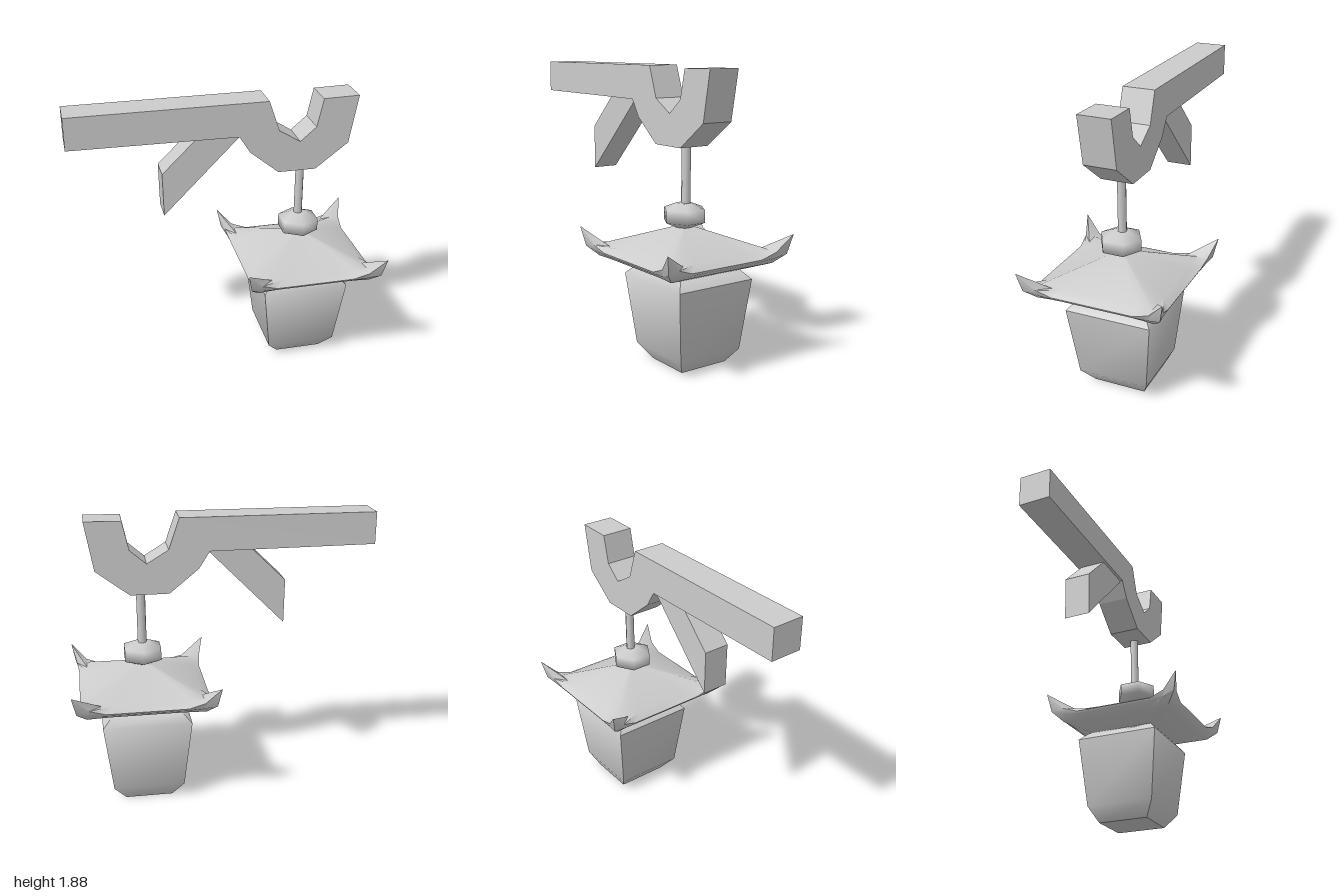
import * as THREE from 'three';
import { toCreasedNormals } from 'three/addons/utils/BufferGeometryUtils.js';

const material = new THREE.MeshStandardMaterial({ color: 0xcccccc });
const CX = 0.518; // axis of the hanging lantern

function part(name, geometry) {
  const mesh = new THREE.Mesh(geometry, material);
  mesh.name = name;
  return mesh;
}

// Extrude a front-view outline between two depths
function slab(outline, zBack, zFront) {
  const shape = new THREE.Shape(outline.map(([x, y]) => new THREE.Vector2(x, y)));
  return new THREE.ExtrudeGeometry(shape, { depth: zFront - zBack, bevelEnabled: false }).translate(0, 0, zBack);
}

// Skin a stack of closed rings from bottom to top and cap both ends
function loft(rings, crease) {
  const n = rings[0].length, pos = [];
  const tri = (a, b, c) => pos.push(...a, ...b, ...c);
  for (let j = 0; j < rings.length - 1; j++) {
    for (let i = 0; i < n; i++) {
      const k = (i + 1) % n;
      const a = rings[j][i], b = rings[j][k], c = rings[j + 1][k], d = rings[j + 1][i];
      tri(a, b, c);
      tri(a, c, d);
    }
  }
  const centre = (ring) => [0, 1, 2].map((m) => ring.reduce((s, p) => s + p[m], 0) / n);
  const low = rings[0], high = rings[rings.length - 1];
  for (let i = 0; i < n; i++) {
    const k = (i + 1) % n;
    tri(centre(low), low[k], low[i]);
    tri(centre(high), high[i], high[k]);
  }
  const geometry = new THREE.BufferGeometry();
  geometry.setAttribute('position', new THREE.Float32BufferAttribute(pos, 3));
  return toCreasedNormals(geometry, crease);
}

// Square roof ring whose corners may rise and reach further than its sides
function roofRing([mid, midY, corner, cornerY]) {
  const ring = [];
  const steps = [[-1, 1], [-0.78, 0.25], [-0.56, 0], [0.56, 0], [0.78, 0.25]];
  for (let side = 0; side < 4; side++) {
    for (const [u, w] of steps) {
      let x = u * corner, z = mid + (corner - mid) * w;
      for (let r = 0; r < side; r++) [x, z] = [z, -x];
      ring.push([CX + 0.006 + x, midY + (cornerY - midY) * w, z * 1.025]);
    }
  }
  return ring;
}

export function createModel() {
  const group = new THREE.Group();

  // Hooked beam
  group.add(part('beam', slab([
    [-1, 1.665], [0.08, 1.66], [0.15, 1.55], [0.34, 1.395], [0.59, 1.395], [0.805, 1.56], [0.86, 1.875],
    [0.625, 1.87], [0.585, 1.685], [0.48, 1.595], [0.34, 1.68], [0.27, 1.88], [-1, 1.875],
  ], -0.12, 0.093)));

  // Slanted brace under the beam
  group.add(part('brace', slab([
    [-0.41, 1.155], [0.09, 1.66], [-0.185, 1.67], [-0.415, 1.445],
  ], -0.098, 0.075)));

  // Hanging rod
  const rod = part('rod', new THREE.CylinderGeometry(0.029, 0.029, 0.41, 8));
  rod.position.set(CX, 1.185, -0.01);
  group.add(rod);

  // Six-sided finial
  const profile = [[0, 0.885], [0.045, 0.885], [0.137, 0.925], [0.137, 1.005], [0.05, 1.04], [0, 1.04]];
  const finial = part('finial', new THREE.LatheGeometry(profile.map(([x, y]) => new THREE.Vector2(x, y)), 6));
  finial.position.x = CX;
  group.add(finial);

  // Roof: underside, upturned rim, then the shallow pyramid on top
  group.add(part('roof', loft([
    [0.2, 0.612, 0.2, 0.612],
    [0.36, 0.675, 0.38, 0.68],
    [0.412, 0.71, 0.442, 0.742],
    [0.42, 0.725, 0.468, 0.868],
    [0.365, 0.755, 0.365, 0.765],
    [0.055, 0.888, 0.055, 0.888],
  ].map(roofRing), 0.8)));

  // Tapered lantern body: height, half width, half depth, depth centre
  group.add(part('lanternBody', loft([
    [0, 0.155, 0.173, -0.047],
    [0.1, 0.235, 0.233, -0.037],
    [0.565, 0.289, 0.284, -0.032],
    [0.622, 0.232, 0.233, -0.031],
  ].map(([y, w, d, z]) => [
    [CX - w, y, z + d], [CX + w, y, z + d], [CX + w, y, z - d], [CX - w, y, z - d],
  ]), 0.85)));

  return group;
}
